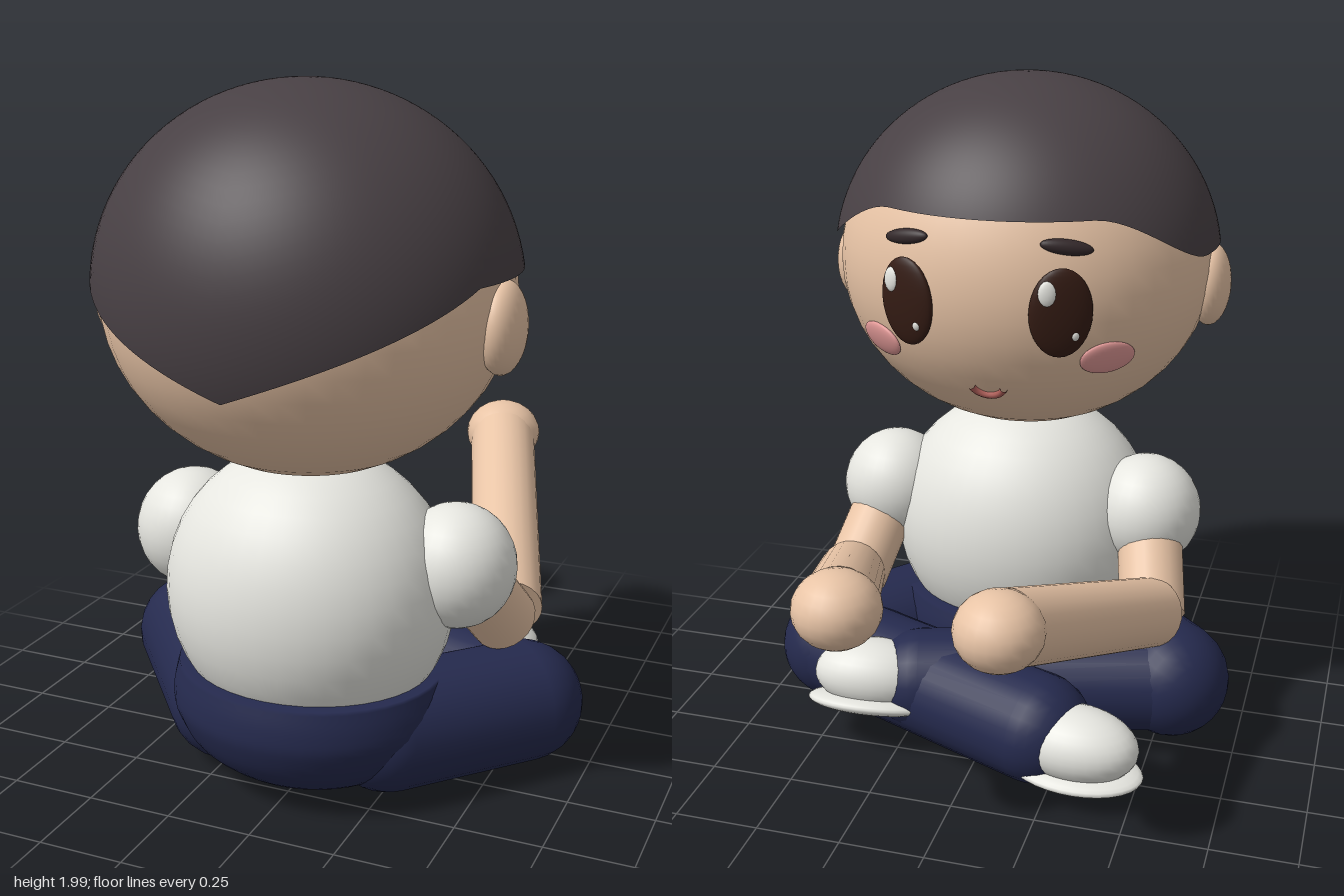
import * as THREE from 'three';
import { ParametricGeometry } from 'three/addons/geometries/ParametricGeometry.js';

const material = (color, side = THREE.FrontSide) => new THREE.MeshStandardMaterial({ color, side });
const skin = material(0xe8c4a6);
const hairColor = material(0x484044, THREE.DoubleSide);
const white = material(0xe6e6e0);
const navy = material(0x252a4e);
const eyeColor = material(0x351c14);
const browColor = material(0x33282a);
const pink = material(0xe39a98);
const lip = material(0xb0605a);

const HEAD = new THREE.Vector3(0, 1.45, 0.34);
const HEAD_R = new THREE.Vector3(0.57, 0.51, 0.53);
const deg = THREE.MathUtils.degToRad;

export function createModel() {
  const model = new THREE.Group();

  function add(name, geometry, mat, parent = model) {
    const mesh = new THREE.Mesh(geometry, mat);
    mesh.name = name;
    parent.add(mesh);
    return mesh;
  }

  function ball(name, mat, center, radii, parent = model, detail = 32) {
    const mesh = add(name, new THREE.SphereGeometry(1, detail, detail / 2), mat, parent);
    mesh.position.set(...center);
    mesh.scale.set(...radii);
    return mesh;
  }

  // straight limb between two points, with round or flat ends
  function limb(name, mat, from, to, r, round) {
    const a = new THREE.Vector3(...from), b = new THREE.Vector3(...to);
    const length = a.distanceTo(b);
    const geometry = round ? new THREE.CapsuleGeometry(r, length, 8, 24)
      : new THREE.CylinderGeometry(r, r, length, 24);
    const mesh = add(name, geometry, mat);
    mesh.position.lerpVectors(a, b, 0.5);
    mesh.quaternion.setFromUnitVectors(new THREE.Vector3(0, 1, 0), b.sub(a).normalize());
    return mesh;
  }

  // head surface point at an angle from the face centre (towards +x) and a height
  function onHead(object, angle, y) {
    const h = (y - HEAD.y) / HEAD_R.y, ring = Math.sqrt(1 - h * h), a = deg(angle);
    const unit = new THREE.Vector3(Math.sin(a) * ring, h, -Math.cos(a) * ring);
    object.position.copy(unit).multiply(HEAD_R).add(HEAD);
    object.lookAt(unit.divide(HEAD_R).add(object.position));
    return object;
  }

  // head and ears
  ball('head', skin, HEAD.toArray(), HEAD_R.toArray(), model, 48);
  for (const s of [-1, 1]) ball('ear', skin, [s * 0.56, 1.39, 0.37], [0.062, 0.125, 0.105]);

  // hair cap: pointed at the nape, level at the ears, higher over the forehead
  const hairline = (a) => {
    if (a < 70) return 1.25 + 0.27 * a / 70;
    return 1.52 + 0.15 * THREE.MathUtils.smoothstep(a, 103, 147);
  };
  const cap = new ParametricGeometry((u, v, p) => {
    const turn = u * 2 * Math.PI;
    const edge = hairline(180 - Math.abs(180 - u * 360));
    const fall = Math.acos((edge - 1.44) / 0.56) * (1 - v) + 0.004;
    p.set(0.59 * Math.sin(turn) * Math.sin(fall), 1.44 + 0.56 * Math.cos(fall),
      0.34 + 0.545 * Math.cos(turn) * Math.sin(fall));
  }, 108, 24);
  add('hair', cap, hairColor);

  // face
  for (const s of [-1, 1]) {
    onHead(ball('eye', eyeColor, [0, 0, 0], [0.09, 0.13, 0.025]), s * 23, 1.42);
    onHead(ball('eyeHighlight', white, [0, 0, 0], [0.026, 0.036, 0.012], model, 16), s * 23 + 4, 1.48)
      .translateZ(0.02);
    onHead(ball('eyeSparkle', white, [0, 0, 0], [0.013, 0.016, 0.01], model, 16), s * 23 - 4, 1.36)
      .translateZ(0.018);
    onHead(ball('eyebrow', browColor, [0, 0, 0], [0.075, 0.022, 0.018]), s * 25, 1.6).rotateZ(s * 0.15);
    onHead(ball('cheek', pink, [0, 0, 0], [0.085, 0.055, 0.016]), s * 39, 1.27);
  }
  const smile = add('smile', new THREE.TorusGeometry(0.05, 0.011, 8, 20, Math.PI * 0.8), lip);
  onHead(smile, 0, 1.18).rotateZ(Math.PI * 1.1);

  // shirt and hips
  ball('shirt', white, [0, 0.58, 0.335], [0.42, 0.42, 0.365], model, 40);
  const profile = new THREE.SplineCurve([[0.001, 0.02], [0.2, 0.04], [0.34, 0.12], [0.4, 0.22],
    [0.405, 0.29], [0.388, 0.36]].map(([x, y]) => new THREE.Vector2(x, y))).getPoints(24);
  profile.push(new THREE.Vector2(0.3, 0.36), new THREE.Vector2(0, 0.36));
  const hips = add('hips', new THREE.LatheGeometry(profile, 40), navy);
  hips.position.z = 0.335;
  hips.scale.z = 0.89;

  // arms reaching forward
  for (const s of [-1, 1]) {
    ball('sleeve', white, [s * 0.41, 0.68, 0.26], [0.17, 0.177, 0.17]);
    limb('upperArm', skin, [s * 0.43, 0.64, 0.22], [s * 0.48, 0.44, 0.03], 0.1);
    limb('forearm', skin, [s * 0.48, 0.46, 0], [s * 0.23, 0.75, -0.73], 0.105);
    ball('hand', skin, [s * 0.22, 0.76, -0.765], [0.122, 0.107, 0.122], model, 24);
  }

  // crossed legs: each shin runs from its knee to the other side
  const legs = [
    { s: 1, knee: 0.19, ankle: [-0.2, 0.18, -0.28], r: 0.165 },
    { s: -1, knee: 0.23, ankle: [0.2, 0.21, -0.15], r: 0.155 },
  ];
  for (const { s, knee, ankle, r } of legs) {
    limb('thigh', navy, [s * 0.25, 0.2, 0.37], [s * 0.545, knee, 0.03], 0.178, true);
    limb('shin', navy, [s * 0.55, knee, 0.02], ankle, r, true);
  }

  // shoes
  const shoes = [
    { at: [-0.33, 0.18, -0.33], turn: [0, -0.12, 0] },
    { at: [0.33, 0.235, -0.2], turn: [0.3, 0.2, 0] },
  ];
  for (const { at, turn } of shoes) {
    const shoe = new THREE.Group();
    shoe.name = 'shoe';
    shoe.position.set(...at);
    shoe.rotation.set(...turn);
    ball('shoeUpper', white, [0, 0, 0], [0.19, 0.11, 0.125], shoe);
    ball('shoeSole', white, [0, -0.085, 0], [0.205, 0.035, 0.135], shoe);
    model.add(shoe);
  }
  return model;
}
